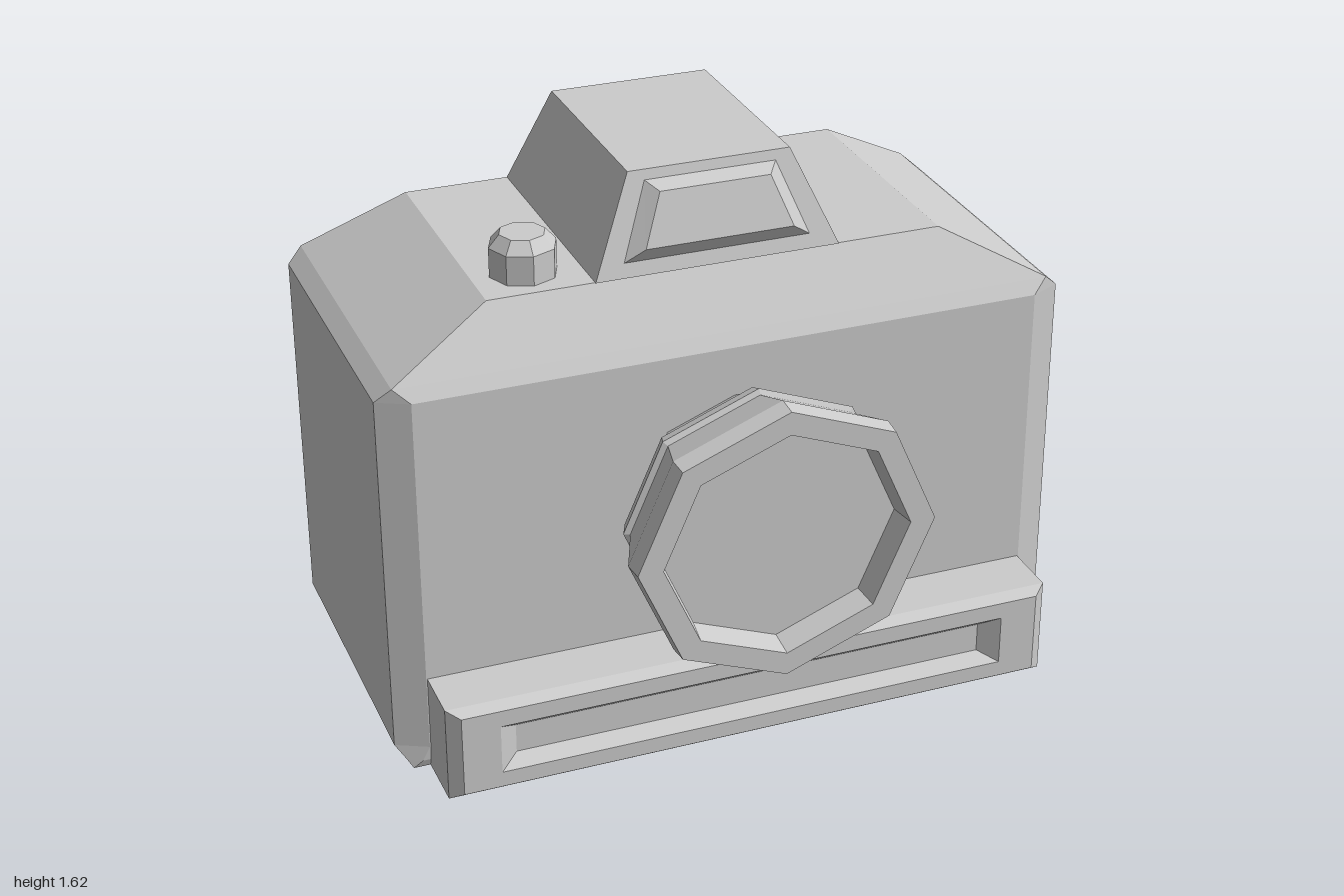
import * as THREE from 'three';

const material = new THREE.MeshStandardMaterial({ color: 0xcccccc, flatShading: true });

function addMesh(parent, name, geometry) {
  const mesh = new THREE.Mesh(geometry, material);
  mesh.name = name;
  parent.add(mesh);
  return mesh;
}

// Joins loops of equal length; loops run counter-clockwise seen from the end cap.
// skip lists "level:side" faces to leave open.
function loft(loops, { start = false, end = true, skip = [] } = {}) {
  const n = loops[0].length;
  const pos = loops.flat(2);
  const index = [];
  for (let l = 0; l < loops.length - 1; l++) {
    for (let i = 0; i < n; i++) {
      if (skip.includes(`${l}:${i}`)) continue;
      const a = l * n + i, b = l * n + (i + 1) % n;
      index.push(a, b, b + n, a, b + n, a + n);
    }
  }
  const last = (loops.length - 1) * n;
  for (let i = 1; i < n - 1; i++) {
    if (end) index.push(last, last + i, last + i + 1);
    if (start) index.push(0, i + 1, i);
  }
  const g = new THREE.BufferGeometry();
  g.setAttribute('position', new THREE.Float32BufferAttribute(pos, 3));
  g.setIndex(index);
  const flat = g.toNonIndexed();
  flat.computeVertexNormals();
  return flat;
}

// Horizontal rectangle with cut corners
function section(y, hx, zf, zb, cx = 0, cz = 0) {
  const x = hx - cx;
  return [
    [hx, y, zf - cz], [hx, y, zb + cz], [x, y, zb], [-x, y, zb],
    [-hx, y, zb + cz], [-hx, y, zf - cz], [-x, y, zf], [x, y, zf],
  ];
}

// Upright trapezoid facing front (dir 1) or back (dir -1)
function panel(dir, y0, w0, z0, y1 = y0, w1 = w0, z1 = z0) {
  return [[-w0 * dir, y0, z0], [w0 * dir, y0, z0], [w1 * dir, y1, z1], [-w1 * dir, y1, z1]];
}
const rect = (dir, hw, y0, y1, z) => panel(dir, y0, hw, z, y1, hw, z);

export function createModel() {
  const model = new THREE.Group();
  model.name = 'camera';

  // Body shell with cut corners and sloped shoulders; its back face stays open for the recess
  addMesh(model, 'body', loft([
    section(0, 0.955, 0.315, -0.64),
    section(0.025, 0.97, 0.325, -0.68, 0.04, 0.02),
    section(0.07, 1, 0.33, -0.68, 0.09, 0.045),
    section(1.15, 1, 0.33, -0.68, 0.09, 0.045),
    section(1.19, 0.955, 0.306, -0.66),
    section(1.35, 0.66, 0.205, -0.565),
  ], { start: true, skip: ['2:2'] }));

  // Back face with a shallow recess
  addMesh(model, 'backFace', loft([
    rect(-1, 0.91, 0.07, 1.15, -0.68),
    rect(-1, 0.58, 0.13, 1.03, -0.68),
    rect(-1, 0.58, 0.13, 1.03, -0.655),
  ]));

  // Film door raised in the recess, with its hinge strip
  const door = addMesh(model, 'filmDoor', new THREE.BoxGeometry(0.98, 0.8, 0.07));
  door.position.set(0, 0.58, -0.685);
  const hinge = addMesh(model, 'doorHinge', loft([
    rect(-1, 0.032, 0.14, 1.02, -0.65),
    rect(-1, 0.032, 0.14, 1.02, -0.69),
    rect(-1, 0.02, 0.16, 1.0, -0.71),
  ]));
  hinge.position.x = -0.54;

  // Viewfinder hump, open at the back for the eyepiece
  const frontZ = (y) => 0.21 - (y - 1.35) * 0.273;
  const backZ = (y) => -0.565 + (y - 1.35) * 0.255;
  addMesh(model, 'viewfinderHump', loft([
    [[0.355, 1.35, 0.21], [0.355, 1.35, -0.565], [-0.355, 1.35, -0.565], [-0.355, 1.35, 0.21]],
    [[0.235, 1.625, 0.135], [0.235, 1.625, -0.495], [-0.235, 1.625, -0.495], [-0.235, 1.625, 0.135]],
  ], { skip: ['0:1'] }));

  // Raised window on the front of the hump
  addMesh(model, 'viewfinderWindow', loft([
    panel(1, 1.39, 0.27, frontZ(1.39), 1.597, 0.19, frontZ(1.597)),
    panel(1, 1.43, 0.215, 0.221, 1.575, 0.16, 0.182),
  ]));

  // Sunken eyepiece on the back of the hump
  addMesh(model, 'eyepiece', loft([
    panel(-1, 1.35, 0.355, -0.565, 1.625, 0.235, -0.495),
    panel(-1, 1.39, 0.265, backZ(1.39), 1.595, 0.19, backZ(1.595)),
    panel(-1, 1.41, 0.235, backZ(1.41) + 0.04, 1.58, 0.17, backZ(1.58) + 0.04),
  ]));

  // Eight-sided lens barrel with a grip ring and a sunken glass
  const barrel = [
    [0.25, 0.3], [0.265, 0.33], [0.335, 0.45], [0.347, 0.45], [0.368, 0.5], [0.352, 0.508],
    [0.41, 0.66], [0.405, 0.72], [0.337, 0.72], [0.325, 0.64], [0, 0.64],
  ].map(([r, z]) => new THREE.Vector2(r, z));
  const lens = addMesh(model, 'lens', new THREE.LatheGeometry(barrel, 8).rotateX(Math.PI / 2));
  lens.scale.x = 1.06;
  lens.position.y = 0.74;

  // Front base bar with bevelled edges and a long sunken slot
  addMesh(model, 'baseBar', loft([
    rect(1, 0.907, 0, 0.295, 0.3),
    rect(1, 0.907, 0.005, 0.295, 0.495),
    rect(1, 0.87, 0.028, 0.275, 0.525),
    rect(1, 0.76, 0.075, 0.225, 0.525),
    rect(1, 0.705, 0.105, 0.193, 0.485),
  ], { start: true }));

  // Shutter button
  const knob = [[0.096, 1.33], [0.096, 1.435], [0.065, 1.47], [0, 1.47]]
    .map(([r, y]) => new THREE.Vector2(r, y));
  const button = addMesh(model, 'shutterButton', new THREE.LatheGeometry(knob, 8));
  button.position.set(-0.513, 0, 0.07);

  return model;
}
